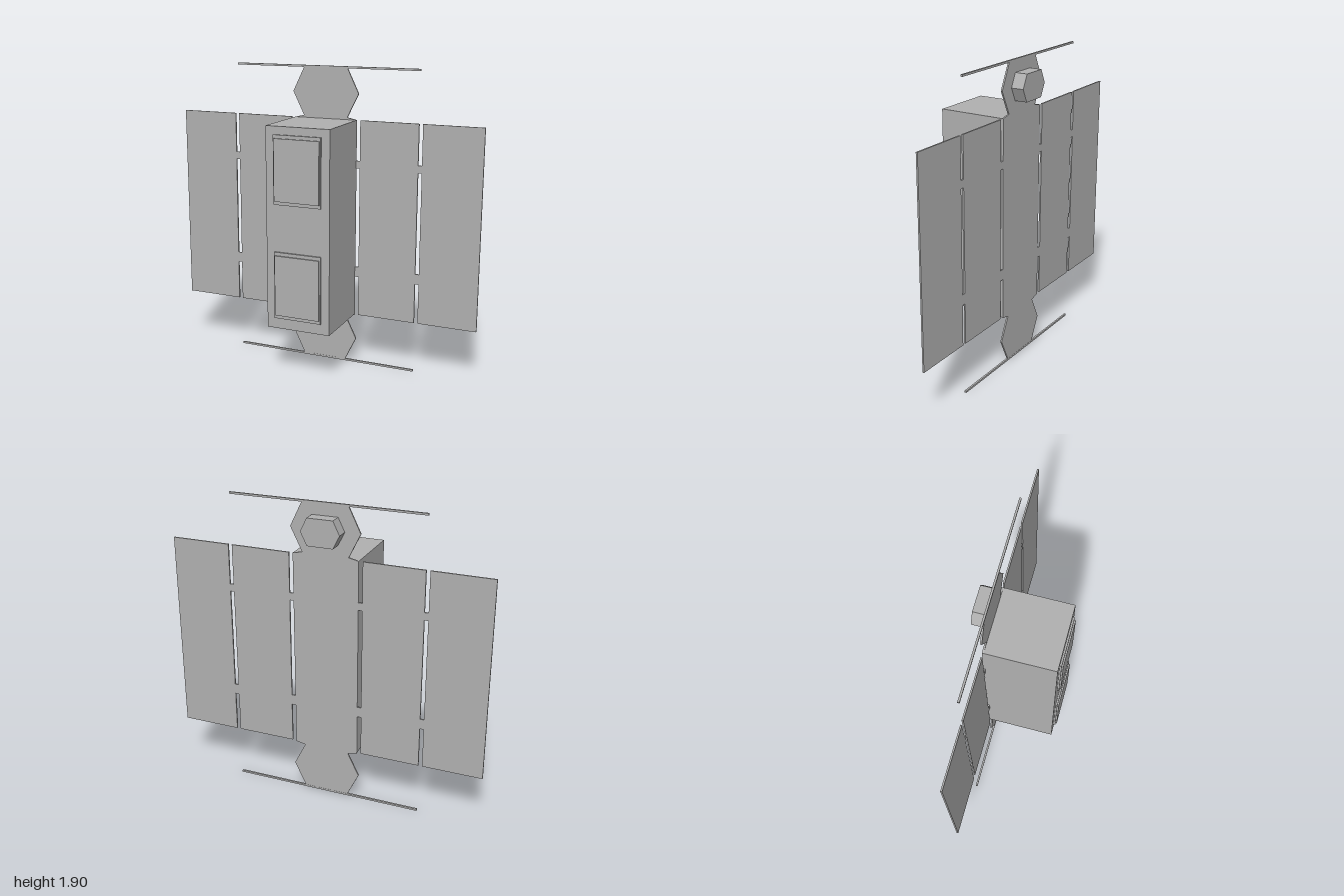
import * as THREE from 'three';

export function createModel() {
  const model = new THREE.Group();
  model.name = 'satellite';
  const grey = new THREE.MeshStandardMaterial({ color: 0xb0b0b0, flatShading: true });
  grey.name = 'grey';

  const add = (name, geometry, x, y, z) => {
    const mesh = new THREE.Mesh(geometry, grey);
    mesh.name = name;
    mesh.position.set(x, y, z);
    model.add(mesh);
    return mesh;
  };
  // Box given by its lower and upper corners
  const box = (name, x0, x1, y0, y1, z0, z1) =>
    add(name, new THREE.BoxGeometry(x1 - x0, y1 - y0, z1 - z0), (x0 + x1) / 2, (y0 + y1) / 2, (z0 + z1) / 2);
  const extrude = (points, depth) =>
    new THREE.ExtrudeGeometry(new THREE.Shape(points.map(([x, y]) => new THREE.Vector2(x, y))), { depth, bevelEnabled: false });

  const backZ = -0.185, frontZ = -0.175; // faces of the thin back sheet
  const midY = 0.949;

  // Main body
  box('body', -0.205, 0.205, 0.326, 1.576, frontZ, 0.243);

  // Two raised hatches on the front, each a base with a slightly smaller cover
  for (const y of [0.604, 1.317]) {
    box('hatchBase', -0.152, 0.152, y - 0.21, y + 0.21, 0.243, 0.254);
    box('hatchCover', -0.145, 0.145, y - 0.189, y + 0.189, 0.254, 0.263);
  }

  // Central back plate with a hexagonal end plate above and below
  const quarter = [[0.205, 0.627], [0.144, 0.64], [0.217, 0.787], [0.144, 0.937]];
  const right = [...quarter.map(([x, y]) => [x, -y]).reverse(), ...quarter];
  const outline = [...right, ...right.map(([x, y]) => [-x, y]).reverse()];
  add('centrePlate', extrude(outline, frontZ - backZ), 0, midY, backZ);

  // Solar wings: two panels per side, joined by short tabs
  for (const s of [-1, 1]) {
    const strip = (name, a, b, y0, y1) =>
      box(name, Math.min(s * a, s * b), Math.max(s * a, s * b), y0, y1, backZ, frontZ);
    strip('innerPanel', 0.23, 0.603, 0.326, 1.576);
    strip('outerPanel', 0.627, 1, 0.326, 1.576);
    for (const [a, b] of [[0.205, 0.23], [0.603, 0.627]]) {
      strip('upperTab', a, b, 1.278, 1.325);
      strip('lowerTab', a, b, 0.58, 0.645);
    }
  }

  // Long antenna rods at the top and bottom
  for (const y of [0.006, 1.892]) {
    box('antennaRod', -0.604, 0.604, y - 0.006, y + 0.006, -0.186, -0.174);
  }

  // Hexagonal thruster block on the back of the upper plate
  const hexagon = [[0.12, 0], [0.08, 0.082], [-0.08, 0.082], [-0.12, 0], [-0.08, -0.082], [0.08, -0.082]];
  add('thruster', extrude(hexagon, 0.078), 0, 1.737, -0.263);

  return model;
}
